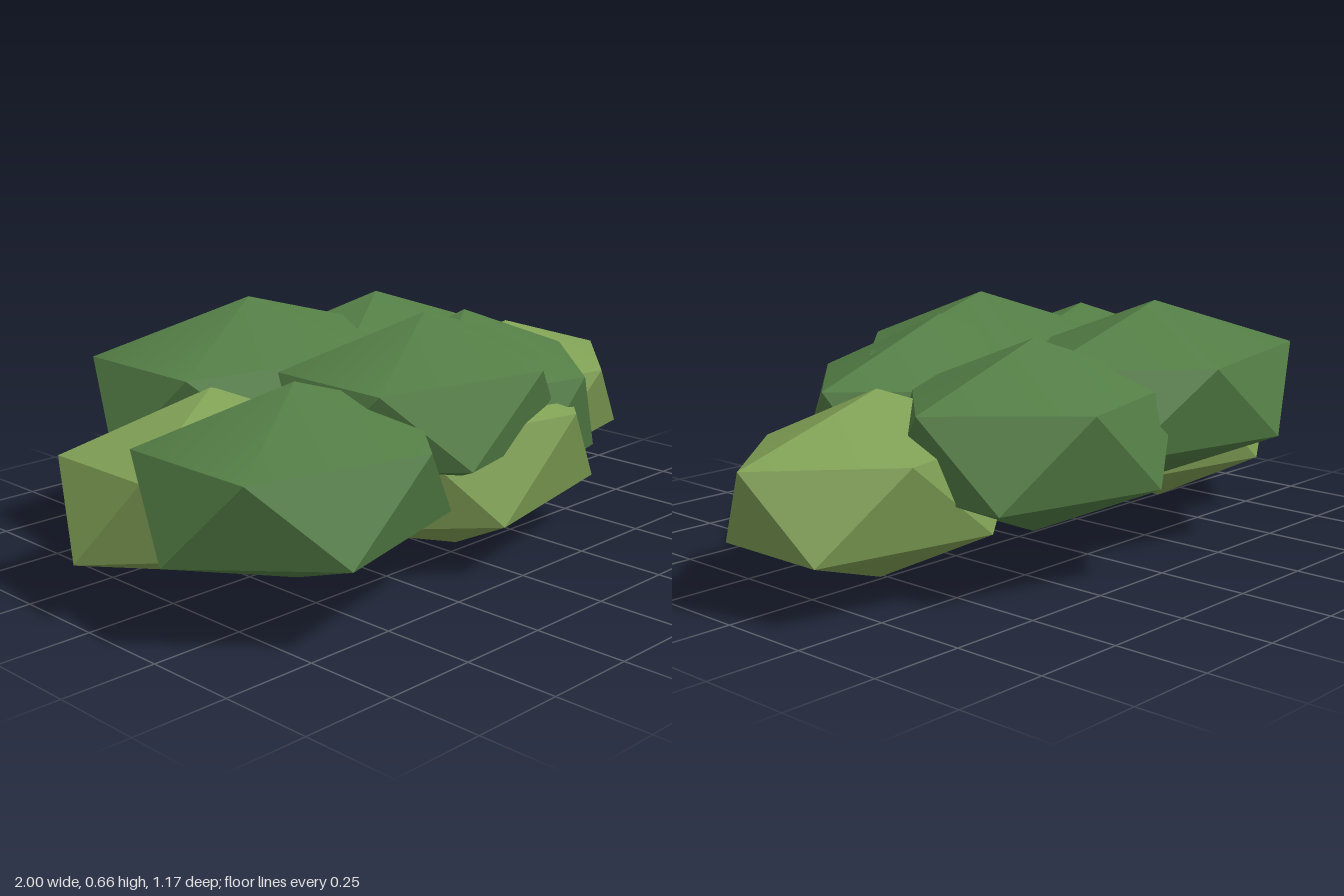
import * as THREE from 'three';
import { toCreasedNormals } from 'three/addons/utils/BufferGeometryUtils.js';

// Squashed icosahedron standing on a corner, with one upper-ring corner towards +x
function clumpGeometry(rx, ry, rz) {
  const g = new THREE.IcosahedronGeometry(1, 0);
  g.rotateX(-Math.atan((1 + Math.sqrt(5)) / 2));
  g.rotateY(Math.PI / 2);
  g.scale(rx, ry, rz);
  return toCreasedNormals(g, Math.PI / 6);
}

export function createModel() {
  const lightLeaf = new THREE.MeshStandardMaterial({ color: 0x7f9f54 });
  lightLeaf.name = 'lightLeaf';
  const darkLeaf = new THREE.MeshStandardMaterial({ color: 0x537d45 });
  darkLeaf.name = 'darkLeaf';

  const bush = new THREE.Group();
  bush.name = 'bush';

  // name, material, centre, radii
  const clumps = [
    // Lower, lighter foliage
    ['lowerRightClump', lightLeaf, [-0.57, 0.265, -0.05], [0.48, 0.245, 0.31]],
    ['lowerFrontClump', lightLeaf, [0.065, 0.272, 0.21], [0.51, 0.272, 0.34]],
    ['lowerLeftClump', lightLeaf, [0.57, 0.267, -0.05], [0.48, 0.24, 0.31]],
    // Upper, darker foliage
    ['frontRightClump', darkLeaf, [-0.57, 0.335, 0.26], [0.46, 0.245, 0.38]],
    ['frontTopClump', darkLeaf, [-0.07, 0.43, 0.21], [0.48, 0.235, 0.34]],
    ['frontLeftClump', darkLeaf, [0.155, 0.345, 0.15], [0.47, 0.285, 0.37]],
    ['backLeftClump', darkLeaf, [0.23, 0.365, -0.26], [0.46, 0.25, 0.365]],
    ['backTopClump', darkLeaf, [-0.25, 0.42, -0.27], [0.52, 0.245, 0.37]],
  ];
  for (const [name, material, centre, radii] of clumps) {
    const mesh = new THREE.Mesh(clumpGeometry(...radii), material);
    mesh.name = name;
    mesh.position.set(...centre);
    bush.add(mesh);
  }
  return bush;
}
